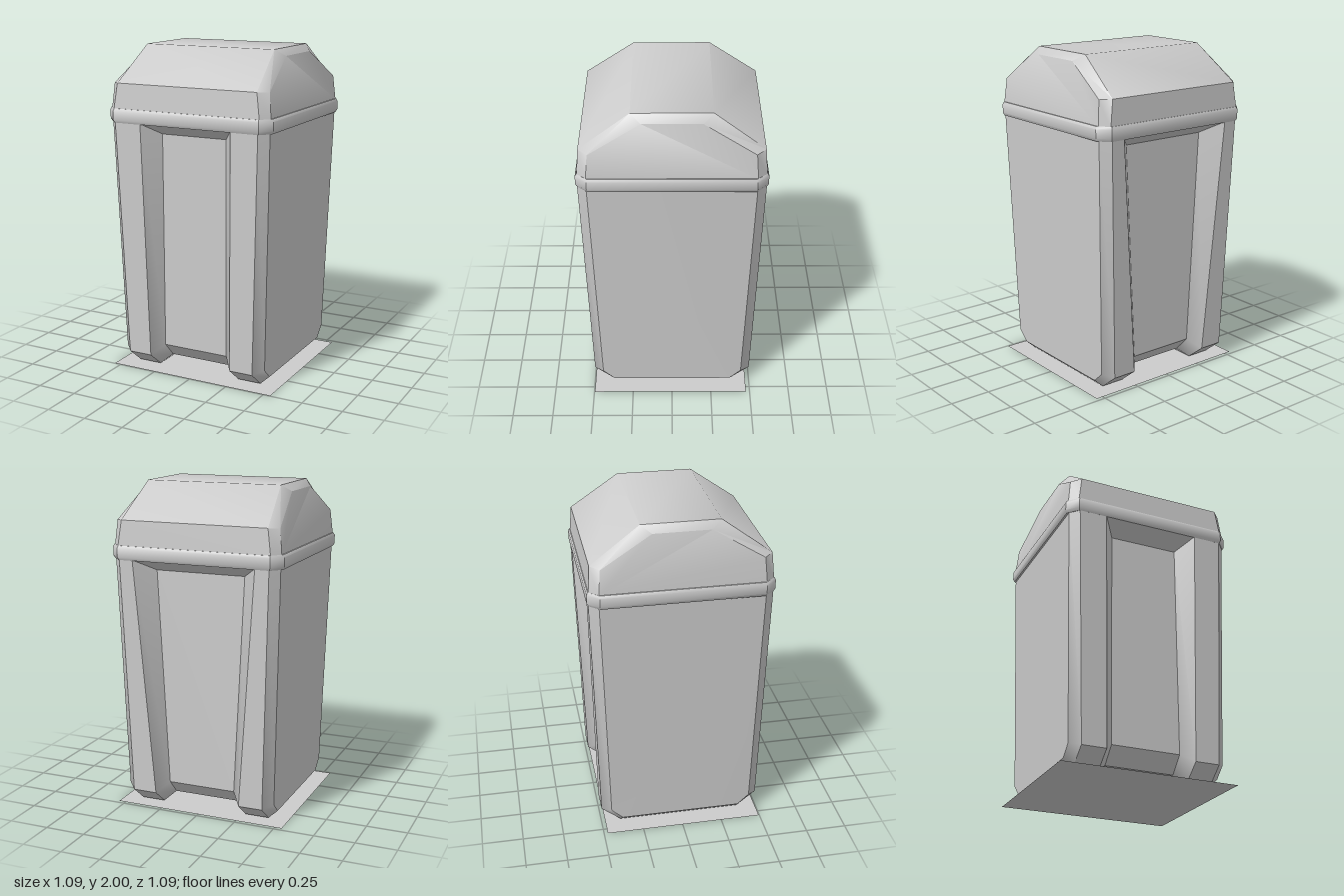
import * as THREE from 'three';
import { toCreasedNormals } from 'three/addons/utils/BufferGeometryUtils.js';

const material = new THREE.MeshStandardMaterial({ color: 0xcccccc });

// Skin a row of cross-sections (each a list of [x, y, z]) and cap both ends
function loft(sections, closed = false) {
  const n = sections[0].length;
  const pos = [];
  const tri = (a, b, c) => {
    const [p, q, r] = [a, b, c].map((v) => new THREE.Vector3(...v));
    if (q.sub(p).cross(r.sub(p)).length() > 1e-7) pos.push(...a, ...b, ...c);
  };
  for (let i = 0; i + 1 < sections.length; i++) {
    const s = sections[i], t = sections[i + 1];
    for (let j = 0; j < (closed ? n : n - 1); j++) {
      const k = (j + 1) % n;
      tri(s[j], s[k], t[k]);
      tri(s[j], t[k], t[j]);
    }
  }
  const first = sections[0], last = sections[sections.length - 1];
  for (let j = 1; j < n - 1; j++) {
    tri(last[0], last[j], last[j + 1]);
    tri(first[0], first[j + 1], first[j]);
  }
  const geo = new THREE.BufferGeometry();
  geo.setAttribute('position', new THREE.Float32BufferAttribute(pos, 3));
  return toCreasedNormals(geo, THREE.MathUtils.degToRad(39));
}

// Sections of the right half (-x), outermost first, made from +x ones
function mirrored(half) {
  const right = half.map((s) => s.map(([x, y, z]) => [-x, y, z]));
  return [...right, ...half.slice().reverse()];
}

// Mirror a front profile to the back
const frontToBack = (p) => [...p, ...p.slice().reverse().map(([x, y, z]) => [x, y, -z])];

function part(name, geometry, mat = material) {
  const mesh = new THREE.Mesh(geometry, mat);
  mesh.name = name;
  return mesh;
}

// Tapered bin with bevelled sides and a channel down front, underside and back
function bodyGeometry() {
  const side = frontToBack([[0.52, 1.56, 0.48], [0.52, 1.56, 0.48], [0.48, 0.125, 0.44], [0.48, 0.06, 0.37]]);
  const bevel = frontToBack([[0.47, 1.56, 0.535], [0.47, 1.56, 0.535], [0.425, 0.105, 0.497], [0.425, 0.01, 0.38]]);
  const channelEdge = [
    [0.298, 1.56, 0.535], [0.298, 1.56, 0.535], [0.275, 0.105, 0.497], [0.275, 0.01, 0.38],
    [0.275, 0.01, -0.38], [0.275, 0.105, -0.497], [0.385, 1.56, -0.535], [0.385, 1.56, -0.535],
  ];
  const channelFloor = [
    [0.298, 1.56, 0.535], [0.213, 1.49, 0.42], [0.213, 0.16, 0.42], [0.213, 0.065, 0.33],
    [0.213, 0.065, -0.33], [0.213, 0.16, -0.42], [0.28, 1.49, -0.42], [0.385, 1.56, -0.535],
  ];
  return loft(mirrored([side, bevel, channelEdge, channelFloor]));
}

// Domed lid with bevelled sides; each section runs from back to front
function lidGeometry() {
  const side = frontToBack([[0.525, 1.635, -0.48], [0.51, 1.785, -0.468], [0.472, 1.96, -0.17]]);
  const bevel = frontToBack([[0.478, 1.635, -0.533], [0.457, 1.79, -0.522], [0.425, 2, -0.23]]);
  return loft(mirrored([side, bevel]));
}

// Octagonal band with softened upper and lower edges
function rimGeometry() {
  const ring = (y, inset) => {
    const x = 0.54 - inset, z = 0.544 - inset, cx = 0.478 - inset / 2, cz = 0.477 - inset / 2;
    return [[x, y, cz], [x, y, -cz], [cx, y, -z], [-cx, y, -z],
      [-x, y, -cz], [-x, y, cz], [-cx, y, z], [cx, y, z]];
  };
  return loft([ring(1.555, 0.009), ring(1.572, 0), ring(1.625, 0), ring(1.64, 0.008)], true);
}

export function createModel() {
  const group = new THREE.Group();
  group.name = 'wasteBin';
  group.add(part('body', bodyGeometry()));
  group.add(part('rim', rimGeometry()));
  group.add(part('lid', lidGeometry()));

  // Thin flat sheet beneath the bin
  const sheetMaterial = material.clone();
  sheetMaterial.side = THREE.DoubleSide;
  const sheet = part('baseSheet', new THREE.PlaneGeometry(1.088, 0.973), sheetMaterial);
  sheet.rotation.x = -Math.PI / 2;
  sheet.position.z = 0.01;
  group.add(sheet);
  return group;
}
